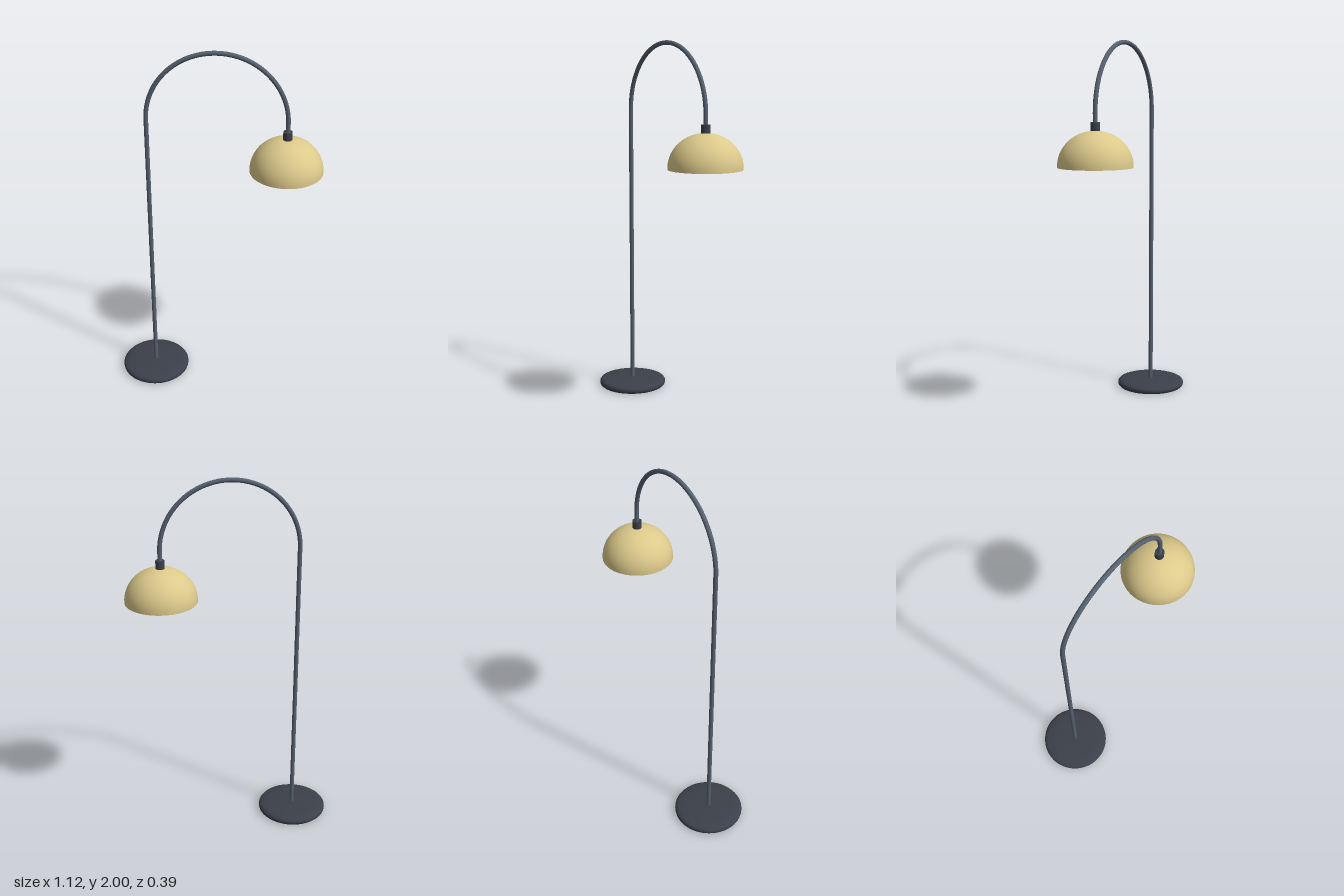
import * as THREE from 'three';
import { toCreasedNormals } from 'three/addons/utils/BufferGeometryUtils.js';

const POLE_X = -0.366, SHADE_X = 0.364, ARC_R = 0.365, ARC_Y = 1.623;

function material(name, color) {
  const m = new THREE.MeshStandardMaterial({ color });
  m.name = name;
  return m;
}

function lathe(points, segments, crease) {
  const g = new THREE.LatheGeometry(points.map(([r, y]) => new THREE.Vector2(r, y)), segments);
  return crease ? toCreasedNormals(g, crease) : g;
}

// Quarter-ellipse dome profile, from the rim up to the crown
function dome(radius, rimY, topY, steps = 20) {
  const pts = [];
  for (let i = 0; i <= steps; i++) {
    const a = (i / steps) * Math.PI / 2;
    pts.push([i === steps ? 0 : radius * Math.cos(a), rimY + (topY - rimY) * Math.sin(a)]);
  }
  return pts;
}

export function createModel() {
  const group = new THREE.Group();
  group.name = 'archedFloorLamp';
  const dark = material('dark charcoal', 0x3c404a);
  const steel = material('blue grey steel', 0x566270);
  const brass = material('pale brass', 0xdcc98b);
  const lining = material('cream lining', 0xe6dcc2);
  const glass = material('warm bulb glass', 0xeadfc0);

  const add = (name, geometry, mat, x = 0, y = 0) => {
    const mesh = new THREE.Mesh(geometry, mat);
    mesh.name = name;
    mesh.position.set(x, y, 0);
    group.add(mesh);
  };

  // Weighted foot with softened edges
  add('base', lathe([[0, 0], [0.184, 0], [0.191, 0.007], [0.193, 0.015], [0.192, 0.024],
    [0.186, 0.032], [0.172, 0.037], [0.13, 0.042], [0, 0.045]], 64, 0.7), dark, POLE_X);

  // Upright, half-circle arch and short drop as one bent tube
  const path = new THREE.CurvePath();
  const v = (x, y) => new THREE.Vector3(x, y, 0);
  class Arch extends THREE.Curve {
    getPoint(t, target = new THREE.Vector3()) {
      const a = Math.PI * (1 - t);
      return target.set(ARC_R * Math.cos(a) - 0.001, ARC_Y + ARC_R * Math.sin(a), 0);
    }
  }
  path.add(new THREE.LineCurve3(v(POLE_X, 0.03), v(POLE_X, ARC_Y)));
  path.add(new Arch());
  path.add(new THREE.LineCurve3(v(SHADE_X, ARC_Y), v(SHADE_X, 1.55)));
  add('poleAndArch', new THREE.TubeGeometry(path, 160, 0.012, 16), steel);

  // Lamp holder
  add('socket', new THREE.CylinderGeometry(0.024, 0.024, 0.06, 20), dark, SHADE_X, 1.547);

  // Shade: outer shell, rim and lining
  const outer = [[0.193, 1.35], ...dome(0.193, 1.357, 1.535)];
  const inner = [[0.188, 1.35], ...dome(0.188, 1.357, 1.529)].reverse();
  add('shadeOuter', lathe(outer, 64), brass, SHADE_X);
  add('shadeRim', lathe([[0.188, 1.35], [0.193, 1.35]], 64), brass, SHADE_X);
  add('shadeLining', lathe(inner, 64), lining, SHADE_X);

  // Bulb hanging from its neck
  add('bulbNeck', new THREE.CylinderGeometry(0.02, 0.02, 0.07, 20), dark, SHADE_X, 1.495);
  add('bulb', new THREE.SphereGeometry(0.045, 32, 20), glass, SHADE_X, 1.432);

  return group;
}
